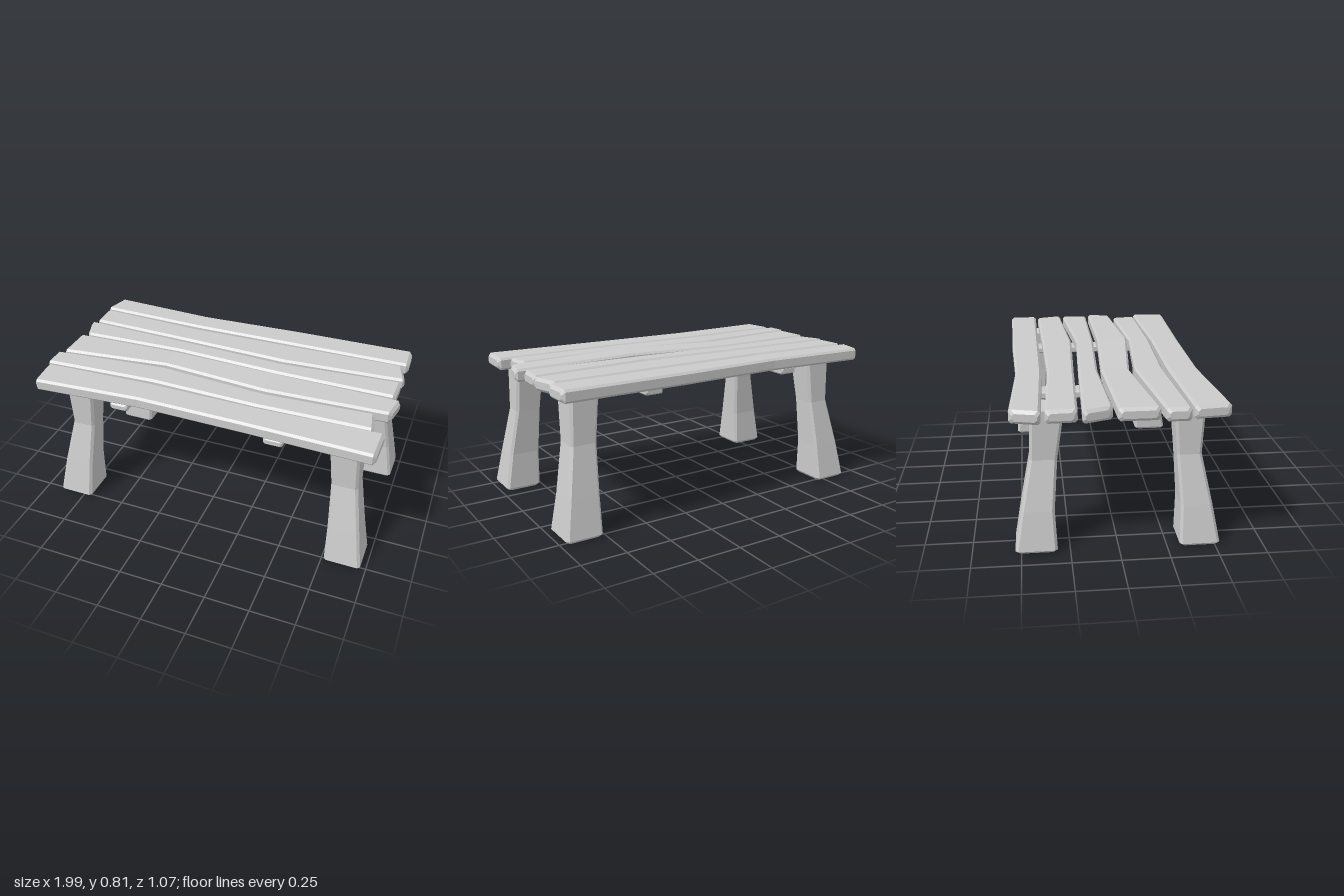
import * as THREE from 'three';

const material = new THREE.MeshStandardMaterial({ color: 0xcccccc, flatShading: true });

// Rectangle with chamfered corners, counter-clockwise, as [u, v] pairs
function chamfered(u0, u1, v0, v1, c) {
  return [
    [u0 + c, v0], [u1 - c, v0], [u1, v0 + c], [u1, v1 - c],
    [u1 - c, v1], [u0 + c, v1], [u0, v1 - c], [u0, v0 + c],
  ];
}

// Closed, flat-shaded skin over a row of eight-cornered rings
function loft(name, rings) {
  const pos = [];
  const tri = (a, b, c) => pos.push(...a, ...b, ...c);
  const n = rings[0].length;
  for (let r = 0; r < rings.length - 1; r++) {
    const a = rings[r], b = rings[r + 1];
    for (let i = 0; i < n; i++) {
      const j = (i + 1) % n;
      tri(a[i], a[j], b[j]);
      tri(a[i], b[j], b[i]);
    }
  }
  const first = rings[0], last = rings[rings.length - 1];
  for (let i = 1; i < n - 1; i++) {
    tri(first[0], first[i + 1], first[i]);
    tri(last[0], last[i], last[i + 1]);
  }
  const geometry = new THREE.BufferGeometry();
  geometry.setAttribute('position', new THREE.Float32BufferAttribute(pos, 3));
  geometry.computeVertexNormals();
  const mesh = new THREE.Mesh(geometry, material);
  mesh.name = name;
  return mesh;
}

// Ring across a plank; its x slants from the back edge to the front edge
function plankRing(xBack, xFront, zBack, zFront, lift, inset) {
  const y0 = 0.73 + lift + inset, y1 = 0.80 + lift - inset;
  return chamfered(y0, y1, zBack + inset, zFront - inset, 0.012).map(([y, z]) => {
    const t = (z - zBack) / (zFront - zBack);
    return [xBack + (xFront - xBack) * t, y, z];
  });
}

// Wobbly plank: back and front edges at four stations, slanted chamfered ends
function plank({ left, right, back, front, lift }) {
  const e = 0.016;
  const mids = [-0.34, 0.28];
  return loft('plank', [
    plankRing(left[0], left[1], back[0], front[0], lift[0], e),
    plankRing(left[0] + e, left[1] + e, back[0], front[0], lift[0], 0),
    ...mids.map((x, i) => plankRing(x, x, back[i + 1], front[i + 1], lift[i + 1], 0)),
    plankRing(right[0] - e, right[1] - e, back[3], front[3], lift[3], 0),
    plankRing(right[0], right[1], back[3], front[3], lift[3], e),
  ]);
}

// Bent leg flaring at the foot: [min, max] in x and z at each level
const levels = [0.015, 0.22, 0.48, 0.74];
function leg(name, xs, zs) {
  const ring = (y, [x0, x1], [z0, z1], d) =>
    chamfered(z0 + d, z1 - d, x0 + d, x1 - d, 0.014).map(([z, x]) => [x, y, z]);
  return loft(name, [
    ring(0, xs[0], zs[0], 0.013),
    ...levels.map((y, i) => ring(y, xs[i], zs[i], 0)),
  ]);
}

// Straight chamfered batten running along z below the planks
function batten(x) {
  const ring = (z, d) =>
    chamfered(x - 0.053 + d, x + 0.053 - d, 0.695 + d, 0.735 - d, 0.008).map(([px, y]) => [px, y, z]);
  return loft('crossBatten', [ring(-0.493, 0.008), ring(-0.483, 0), ring(0.49, 0), ring(0.5, 0.008)]);
}

export function createModel() {
  const model = new THREE.Group();
  model.name = 'plankTable';

  // Table top, back to front
  const top = new THREE.Group();
  top.name = 'tableTop';
  const planks = [
    { left: [-0.95, -0.99], right: [0.965, 0.97], back: [-0.535, -0.505, -0.53, -0.54],
      front: [-0.385, -0.365, -0.37, -0.375], lift: [0, 0, 0, 0] },
    { left: [-0.975, -0.97], right: [0.935, 0.98], back: [-0.365, -0.335, -0.345, -0.36],
      front: [-0.21, -0.19, -0.165, -0.205], lift: [0, 0, 0, 0] },
    { left: [-0.995, -0.94], right: [0.965, 0.96], back: [-0.19, -0.165, -0.135, -0.185],
      front: [-0.04, -0.06, -0.03, -0.025], lift: [0, 0, 0, 0] },
    { left: [-0.975, -0.975], right: [0.998, 0.97], back: [-0.02, -0.04, -0.005, -0.005],
      front: [0.185, 0.115, 0.18, 0.14], lift: [0, 0, 0.01, 0] },
    { left: [-1, -1], right: [0.89, 0.915], back: [0.205, 0.145, 0.195, 0.165],
      front: [0.33, 0.30, 0.32, 0.31], lift: [0, 0, 0, 0] },
    { left: [-0.98, -0.96], right: [0.975, 0.97], back: [0.345, 0.325, 0.335, 0.315],
      front: [0.53, 0.49, 0.50, 0.52], lift: [0, 0, 0, 0] },
  ];
  planks.forEach((p) => top.add(plank(p)));
  model.add(top);

  // Legs, one at each corner
  const legX = {
    Right: [[-0.90, -0.695], [-0.865, -0.69], [-0.81, -0.675], [-0.815, -0.65]],
    Left: [[0.765, 0.97], [0.76, 0.935], [0.745, 0.89], [0.72, 0.88]],
  };
  const legZ = {
    front: [[0.315, 0.525], [0.32, 0.485], [0.302, 0.43], [0.28, 0.44]],
    back: [[-0.53, -0.315], [-0.495, -0.325], [-0.445, -0.305], [-0.435, -0.267]],
  };
  for (const end of ['front', 'back'])
    for (const side of ['Left', 'Right'])
      model.add(leg(`${end}${side}Leg`, legX[side], legZ[end]));

  // Battens tying the planks together
  for (const x of [-0.455, 0.435]) model.add(batten(x));

  return model;
}
